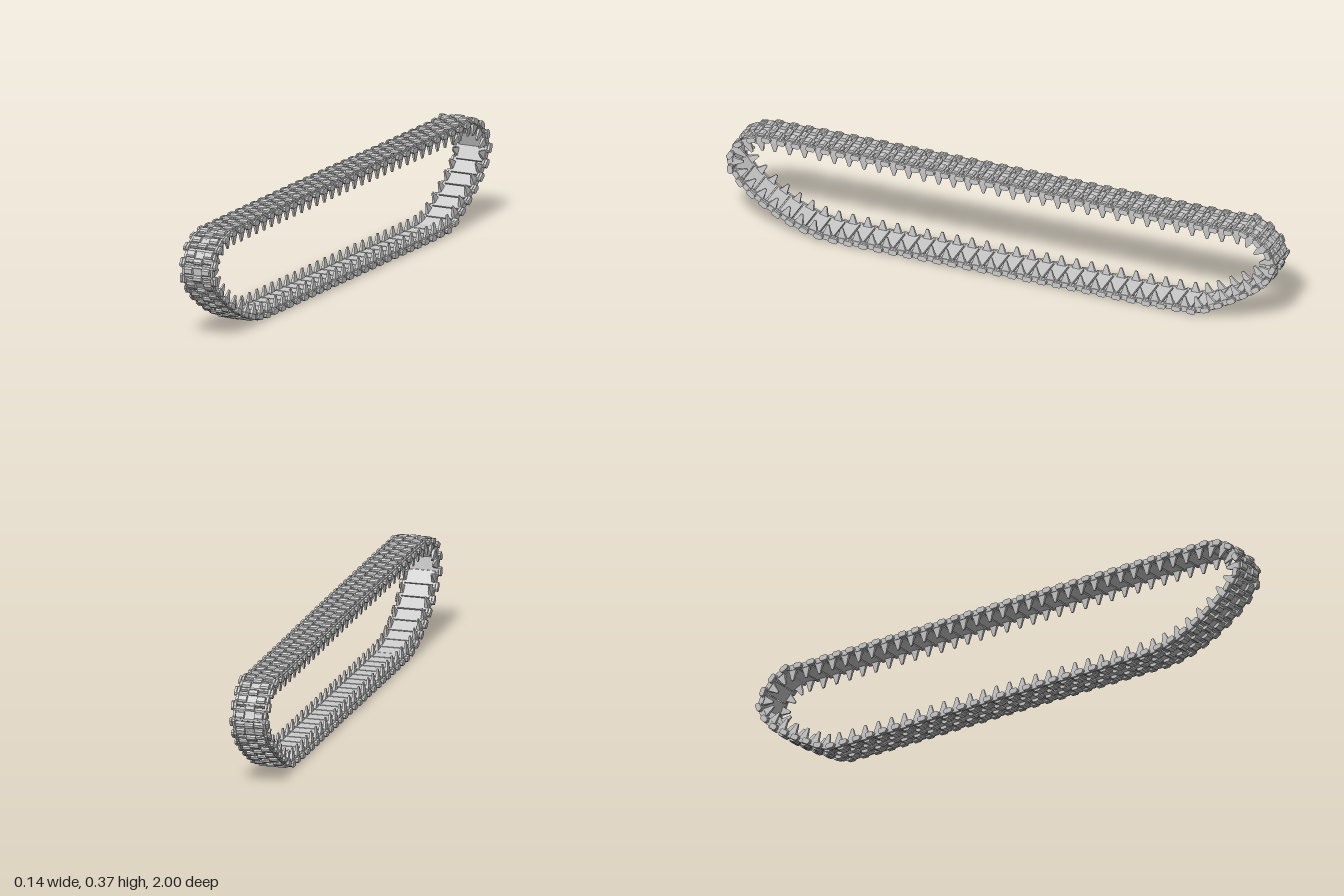
import * as THREE from 'three';

const LINKS = 78;

// Centre line of the belt as [z, y]: top run, front end, bottom run, back end
const PATH = [
  [-0.8, 0.350], [-0.4, 0.351], [0, 0.354], [0.4, 0.354], [0.75, 0.353], [0.88, 0.348],
  [0.945, 0.318], [0.984, 0.25], [0.968, 0.2], [0.93, 0.155], [0.875, 0.112], [0.805, 0.07],
  [0.725, 0.037], [0.645, 0.019], [0.55, 0.016], [0.2, 0.016], [-0.2, 0.016], [-0.62, 0.016],
  [-0.71, 0.022], [-0.79, 0.06], [-0.866, 0.107], [-0.93, 0.155], [-0.968, 0.2], [-0.984, 0.25],
  [-0.95, 0.312], [-0.89, 0.350],
];

// Extrude a [z, y] profile across the belt, centred on x = 0
function across(points, width) {
  const shape = new THREE.Shape(points.map(([z, y]) => new THREE.Vector2(-z, y)));
  const geo = new THREE.ExtrudeGeometry(shape, { depth: width, bevelEnabled: false });
  return geo.translate(0, 0, -width / 2).rotateY(Math.PI / 2);
}

export function createModel() {
  const model = new THREE.Group();
  model.name = 'trackBelt';
  const mat = new THREE.MeshStandardMaterial({ color: 0xcccccc, flatShading: true });

  const curve = new THREE.CatmullRomCurve3(
    PATH.map(([z, y]) => new THREE.Vector3(0, y, z)), true, 'centripetal');
  curve.arcLengthDivisions = 3000;
  const pitch = curve.getLength() / LINKS;

  // Raised pad with chamfered outer edges
  const padProfile = (len) => [
    [-len / 2, 0.002], [len / 2, 0.002], [len / 2, 0.011],
    [len / 2 - 0.005, 0.016], [-len / 2 + 0.005, 0.016], [-len / 2, 0.011],
  ];
  const plateGeo = new THREE.BoxGeometry(0.1, 0.016, pitch * 0.9);
  const sidePadGeo = across(padProfile(0.026), 0.029);
  const centrePadGeo = across(padProfile(0.021), 0.031);
  const pinGeo = new THREE.CylinderGeometry(0.0075, 0.0075, 0.122, 8).rotateZ(Math.PI / 2);
  // Stadium-shaped end connector
  const connectorGeo = across([
    [-0.016, -0.004], [-0.011, -0.009], [0.011, -0.009], [0.016, -0.004],
    [0.016, 0.005], [0.011, 0.01], [-0.011, 0.01], [-0.016, 0.005],
  ], 0.008);
  // Pointed guide horn on the inner side
  const hornGeo = across([
    [-0.016, -0.008], [-0.011, -0.022], [-0.004, -0.046],
    [0.004, -0.046], [0.011, -0.022], [0.016, -0.008],
  ].reverse(), 0.011);
  // Narrow the horn towards its tip
  const pos = hornGeo.attributes.position;
  for (let i = 0; i < pos.count; i++) {
    const k = (-0.008 - pos.getY(i)) / 0.038;
    pos.setX(i, pos.getX(i) * (1 - 0.55 * k));
  }
  hornGeo.computeVertexNormals();

  // One link: x across the belt, y outward, z along the belt
  const link = new THREE.Group();
  const add = (name, geo, x, y, z) => {
    const mesh = new THREE.Mesh(geo, mat);
    mesh.name = name;
    mesh.position.set(x, y, z);
    link.add(mesh);
  };
  add('plate', plateGeo, 0, -0.003, 0);
  add('centrePad', centrePadGeo, 0, 0, pitch * 0.4);
  for (const z of [-0.3, 0.3]) add('pin', pinGeo, 0, 0, z * pitch);
  for (const s of [-1, 1]) {
    add('sidePad', sidePadGeo, s * 0.0325, 0, -pitch * 0.08);
    add('innerConnector', connectorGeo, s * 0.054, 0, pitch / 2);
    add('outerConnector', connectorGeo, s * 0.064, 0, pitch / 2);
    add('endLug', connectorGeo, s * 0.054, 0, 0);
    add('guideHorn', hornGeo, s * 0.05, 0, 0);
  }

  // Repeat the link around the belt
  const across3 = new THREE.Vector3(1, 0, 0);
  for (let i = 0; i < LINKS; i++) {
    const tangent = curve.getTangentAt(i / LINKS);
    const outward = new THREE.Vector3().crossVectors(tangent, across3);
    const copy = link.clone();
    copy.name = 'link' + (i + 1);
    copy.quaternion.setFromRotationMatrix(
      new THREE.Matrix4().makeBasis(across3, outward, tangent));
    copy.position.copy(curve.getPointAt(i / LINKS));
    model.add(copy);
  }
  return model;
}
